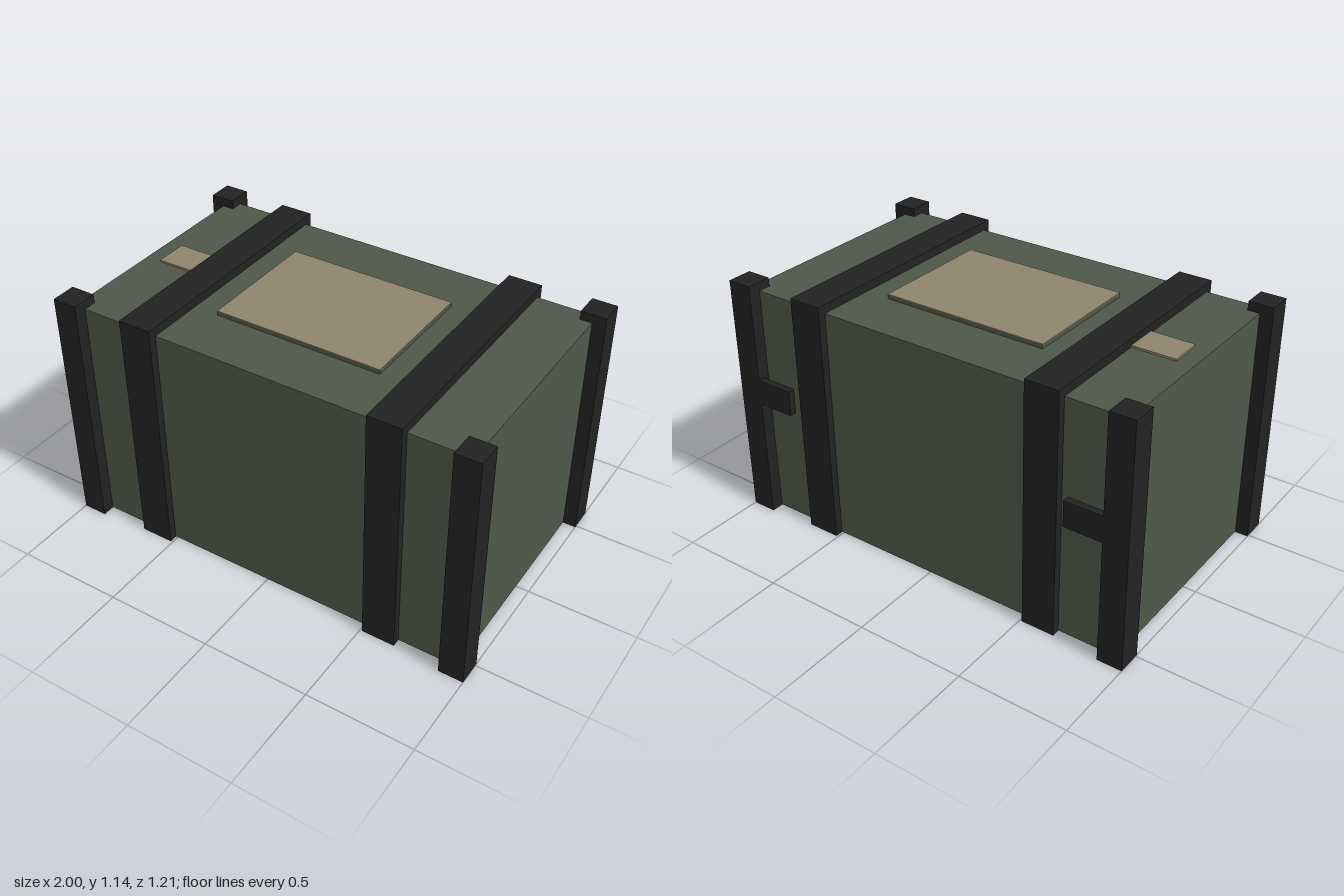
import * as THREE from 'three';

const mat = (name, color, side = THREE.FrontSide) => {
  const m = new THREE.MeshStandardMaterial({ color, side });
  m.name = name;
  return m;
};

export function createModel() {
  const group = new THREE.Group();
  const green = mat('olive green', 0x4f5749, THREE.DoubleSide);
  const black = mat('black', 0x222222);
  const tan = mat('tan', 0x90846c);

  // Box given by its limits on each axis
  const box = (name, material, [x0, x1], [y0, y1], [z0, z1]) => {
    const geo = new THREE.BoxGeometry(x1 - x0, y1 - y0, z1 - z0);
    geo.translate((x0 + x1) / 2, (y0 + y1) / 2, (z0 + z1) / 2);
    const mesh = new THREE.Mesh(geo, material);
    mesh.name = name;
    group.add(mesh);
    return mesh;
  };
  const span = (a, b, s) => (s > 0 ? [a, b] : [-b, -a]);

  // Hollow body, open underneath: drop the bottom face of the box
  const body = box('body', green, [-0.94, 0.94], [0.003, 1.1], [-0.55, 0.55]);
  const index = Array.from(body.geometry.index.array);
  index.splice(18, 6);
  body.geometry.setIndex(index);
  body.geometry.clearGroups();

  for (const sx of [-1, 1]) {
    const side = sx > 0 ? 'left' : 'right';
    // Broad straps running over the body
    box(side + 'Strap', black, span(0.51, 0.665, sx), [0, 1.14], [-0.587, 0.587]);
    // Corner posts
    for (const sz of [-1, 1]) {
      box(side + (sz > 0 ? 'Front' : 'Back') + 'Post', black,
        span(0.885, 1, sx), [0, 1.14], span(0.49, 0.607, sz));
    }
    // Short arm on each back post
    box(side + 'BackArm', black, span(0.708, 0.89, sx), [0.57, 0.69], [-0.607, -0.574]);
  }

  // Raised lid panel with a tan face, and a small tan tag
  box('lidPanel', green, [-0.392, 0.392], [1.1, 1.118], [-0.29, 0.29]);
  box('lidPanelFace', tan, [-0.392, 0.392], [1.118, 1.121], [-0.29, 0.29]);
  box('tag', tan, [-0.865, -0.66], [1.1, 1.109], [-0.077, 0.077]);

  return group;
}
